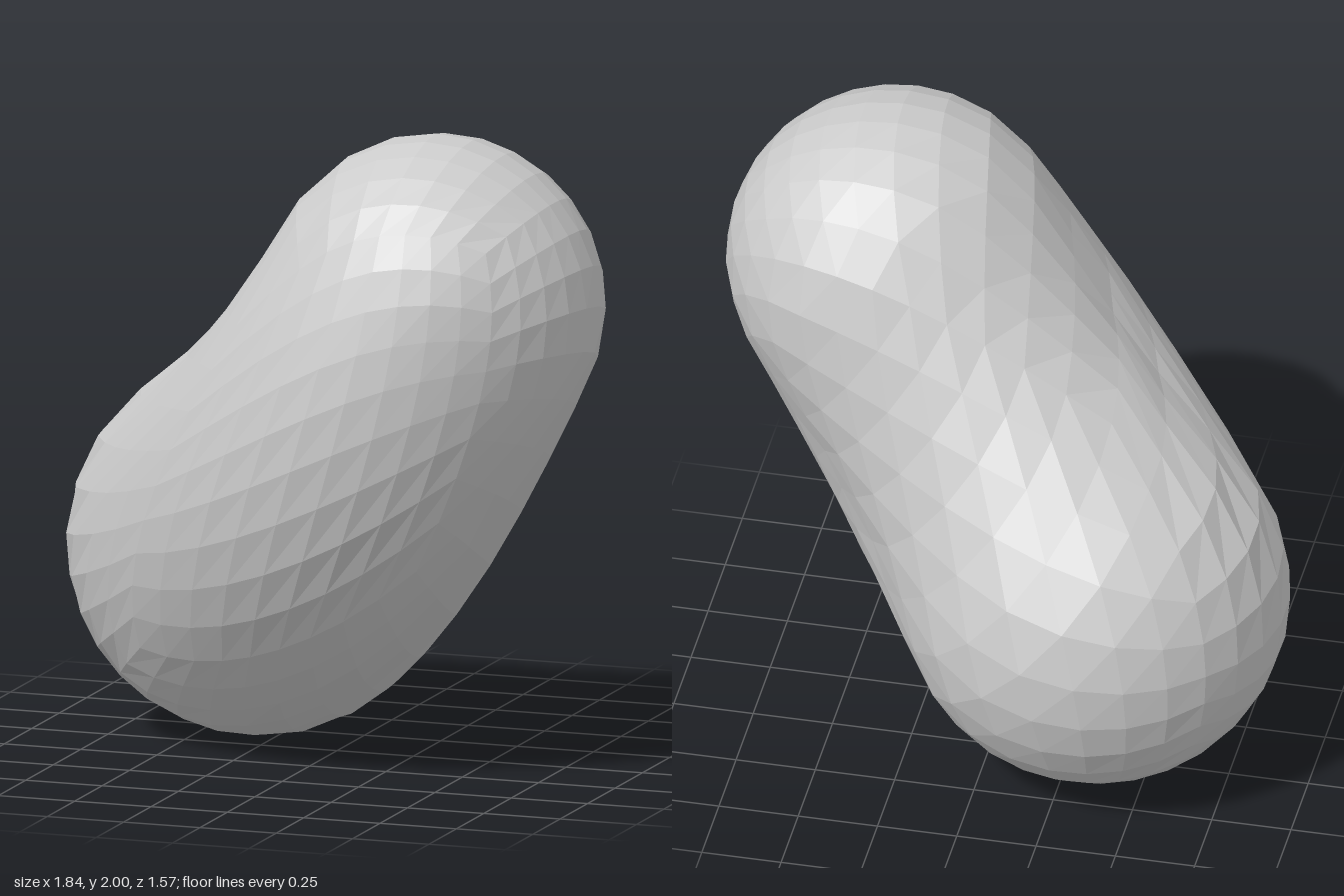
import * as THREE from 'three';

// Bean: spheres swept along a bent spine, skinned with a faceted cube-sphere grid
export function createModel() {
  const lower = new THREE.Vector3(-0.32, 0.6, -0.2);
  const upper = new THREE.Vector3(0.395, 1.475, 0.205);
  const spine = new THREE.QuadraticBezierCurve3(lower, new THREE.Vector3(0.1, 0.86, 0.34), upper);
  const core = new THREE.LineCurve3(lower, upper);
  const axis = upper.clone().sub(lower).normalize();

  // spheres along a curve, big at the lower end, small at the upper, with an optional waist
  const chain = (curve, waist) => curve.getPoints(40).map((centre, i) => ({
    centre,
    radius: THREE.MathUtils.lerp(0.602, 0.528, i / 40) - waist * Math.sin(Math.PI * i / 40),
  }));
  // the bent spine makes the belly, the straight waisted core fills the dent
  const balls = [...chain(spine, 0), ...chain(core, 0.06)];

  // farthest point of the swept spheres along a ray
  const reach = (origin, dir) => {
    let far = 0;
    for (const { centre, radius } of balls) {
      const toCentre = centre.clone().sub(origin);
      const along = toCentre.dot(dir);
      const disc = along * along - toCentre.lengthSq() + radius * radius;
      if (disc > 0) far = Math.max(far, along + Math.sqrt(disc));
    }
    return far;
  };

  const geometry = new THREE.BoxGeometry(2, 2, 2, 9, 9, 9);
  const pos = geometry.attributes.position;
  const dir = new THREE.Vector3();
  for (let i = 0; i < pos.count; i++) {
    dir.fromBufferAttribute(pos, i);
    // even out the grid spacing before rounding the cube
    dir.set(...dir.toArray().map((v) => Math.tan(v * Math.PI / 4))).normalize();
    const origin = spine.getPoint(0.5 + 0.42 * Math.sin(dir.dot(axis) * Math.PI / 2));
    const p = origin.clone().addScaledVector(dir, reach(origin, dir));
    pos.setXYZ(i, p.x, p.y, p.z);
  }
  geometry.computeVertexNormals();

  const bean = new THREE.Mesh(
    geometry,
    new THREE.MeshStandardMaterial({ color: 0xcccccc, flatShading: true })
  );
  bean.name = 'beanBody';

  const group = new THREE.Group();
  group.name = 'bean';
  group.add(bean);
  return group;
}
